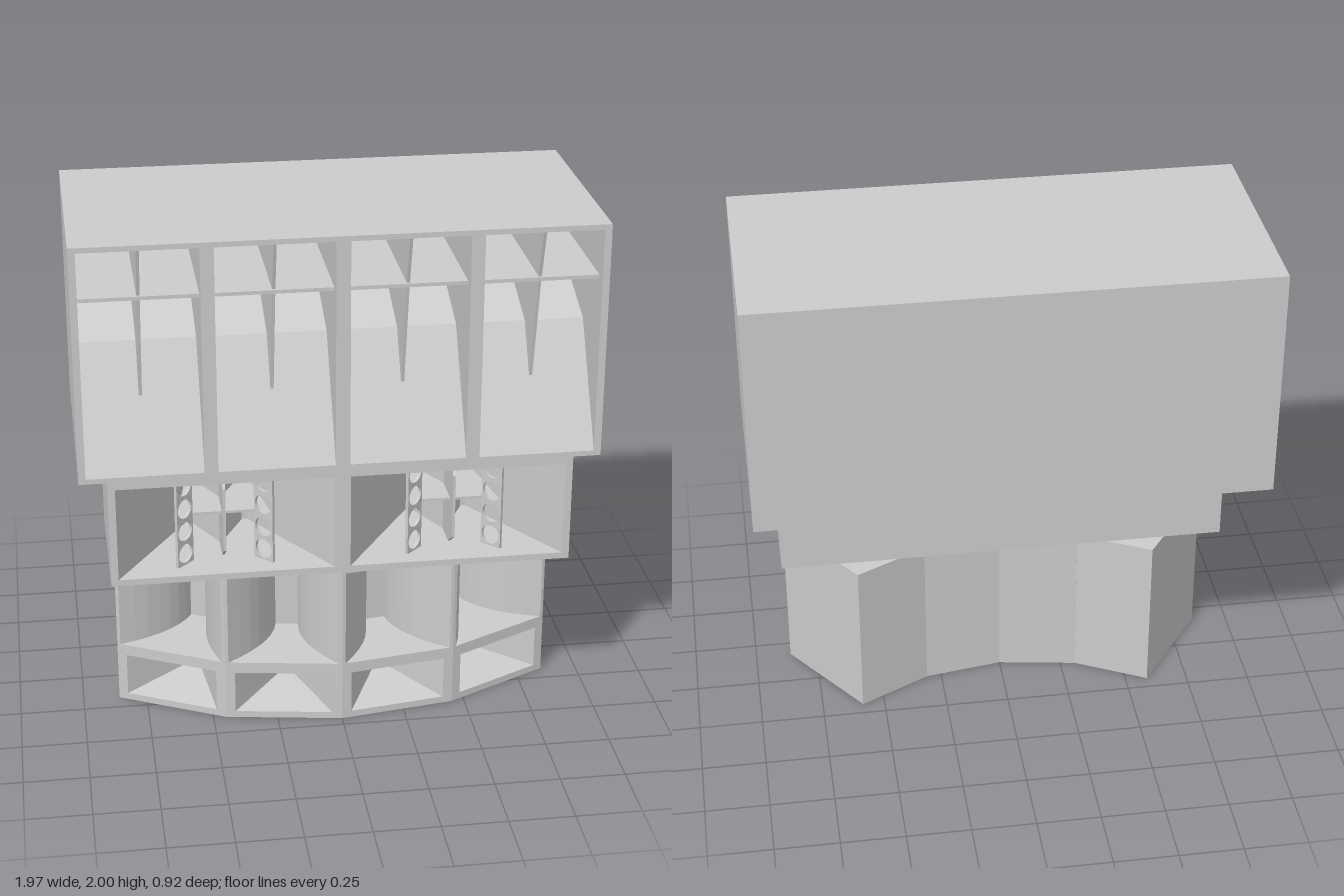
import * as THREE from 'three';

const material = new THREE.MeshStandardMaterial({ color: 0xcccccc, flatShading: true, side: THREE.DoubleSide });

function add(parent, name, geometry) {
  const mesh = new THREE.Mesh(geometry, material);
  mesh.name = name;
  parent.add(mesh);
  return mesh;
}

// Rectangular duct through sections [x0, x1, y0, y1, z], front to back, closed at the back.
// Walls face outward for a hull and inward for a horn.
function duct(sections, inward) {
  const pos = [], index = [];
  for (const [x0, x1, y0, y1, z] of sections) pos.push(x0, y0, z, x1, y0, z, x1, y1, z, x0, y1, z);
  const quad = (a, b, c, d) => (inward ? index.push(a, b, c, a, c, d) : index.push(a, c, b, a, d, c));
  for (let s = 0; s < sections.length - 1; s++) {
    for (let k = 0; k < 4; k++) {
      const a = s * 4 + k, b = s * 4 + (k + 1) % 4;
      quad(a, b, b + 4, a + 4);
    }
  }
  const e = (sections.length - 1) * 4;
  quad(e, e + 1, e + 2, e + 3);
  const g = new THREE.BufferGeometry();
  g.setAttribute('position', new THREE.Float32BufferAttribute(pos, 3));
  g.setIndex(index);
  const flat = g.toNonIndexed();
  flat.computeVertexNormals();
  return flat;
}

const polygon = (points) => new THREE.Shape(points.map(([x, y]) => new THREE.Vector2(x, y)));
const rect = (x0, x1, y0, y1) => polygon([[x0, y0], [x1, y0], [x1, y1], [x0, y1]]);

// Flat front frame with rectangular openings [x0, x1, y0, y1]
function frame(x0, x1, y0, y1, z, openings) {
  const shape = rect(x0, x1, y0, y1);
  for (const o of openings) shape.holes.push(rect(...o));
  return new THREE.ShapeGeometry(shape).translate(0, 0, z);
}

// Sheet of the given thickness, centred on its own plane
const sheet = (shape, t) =>
  new THREE.ExtrudeGeometry(shape, { depth: t, bevelEnabled: false, curveSegments: 10 }).translate(0, 0, -t / 2);

// Upper cabinet: four bays with a folded floor, a sloping ceiling, a shelf and a fin
function upperCabinet() {
  const g = new THREE.Group();
  g.name = 'upperCabinet';
  const centres = [-0.738, -0.247, 0.247, 0.738], w = 0.22;
  add(g, 'upperHull', duct([[-0.985, 0.985, 1.08, 2, 0.46], [-0.985, 0.985, 1.08, 2, -0.46]], false));
  add(g, 'upperFrame', frame(-0.985, 0.985, 1.08, 2, 0.46, centres.map((c) => [c - w, c + w, 1.1, 1.98])));
  for (const c of centres) {
    const bay = new THREE.Group();
    bay.name = 'upperBay';
    bay.position.x = c;
    add(bay, 'upperHorn', duct([[-w, w, 1.1, 1.98, 0.46], [-w, w, 1.54, 1.93, 0.2], [-w, w, 1.785, 1.81, -0.44]], true));
    add(bay, 'shelf', new THREE.BoxGeometry(2 * w, 0.014, 0.8).translate(0, 1.782, 0.01));
    const fin = polygon([[0.455, 1.98], [0.395, 1.78], [0.306, 1.355], [0.2, 1.54], [-0.42, 1.78], [-0.42, 1.81], [0.2, 1.93]]);
    add(bay, 'fin', sheet(fin, 0.012).rotateY(-Math.PI / 2));
    g.add(bay);
  }
  return g;
}

// Middle cabinet: two wide horns with perforated strips and a central wedge
function middleCabinet() {
  const g = new THREE.Group();
  g.name = 'middleCabinet';
  const y0 = 0.675, y1 = 1.05, h = y1 - y0, w = 0.411, centres = [-0.441, 0.441];
  add(g, 'middleHull', duct([[-0.88, 0.88, 0.65, 1.08, 0.46], [-0.88, 0.88, 0.65, 1.08, -0.11]], false));
  add(g, 'middleFrame', frame(-0.88, 0.88, 0.65, 1.08, 0.46, centres.map((c) => [c - w, c + w, y0, y1])));

  const stripShape = rect(-0.045, 0.045, 0, h);
  for (let i = 0; i < 4; i++) {
    const hole = new THREE.Path();
    hole.absarc(0, h * (i + 0.5) / 4, 0.039, 0, Math.PI * 2, true);
    stripShape.holes.push(hole);
  }
  for (const c of centres) {
    const bay = new THREE.Group();
    bay.name = 'middleBay';
    bay.position.x = c;
    add(bay, 'middleHorn', duct([[-w, w, y0, y1, 0.46], [-0.12, 0.12, y0, y1, 0]], true));
    for (const s of [-1, 1]) {
      const strip = add(bay, 'perforatedStrip', sheet(stripShape, 0.012));
      strip.position.set(s * 0.153, y0, 0.36);
      strip.rotation.y = -s * Math.PI / 4;
    }
    // wedge, crossing plate and upright fin behind the strips
    const wedge = polygon([[-0.1, 0.005], [0.1, 0.005], [0, 0.2]]);
    add(bay, 'wedge', sheet(wedge, h).rotateX(Math.PI / 2).translate(0, (y0 + y1) / 2, 0));
    const plate = polygon([[-0.12, 0.01], [0.12, 0.01], [0.185, 0.38], [0.12, 0.32], [-0.12, 0.32], [-0.185, 0.38]]);
    add(bay, 'crossPlate', sheet(plate, 0.01).rotateX(Math.PI / 2).translate(0, 0.865, 0));
    const fin = polygon([[0.1, y0], [0.3, y0], [0.38, 0.73], [0.38, 0.99], [0.3, y1], [0.1, y1]]);
    add(bay, 'uprightFin', sheet(fin, 0.01).rotateY(-Math.PI / 2));
    g.add(bay);
  }
  return g;
}

// One tapered cabinet of the curved row: a flared horn above a small pyramid horn
function lowerCabinet() {
  const g = new THREE.Group();
  g.name = 'lowerCabinet';
  const f = 0.2284, b = 0.1564;
  add(g, 'lowerHull', duct([[-f, f, 0, 0.65, 0], [-b, b, 0, 0.65, -0.454]], false));
  add(g, 'lowerFrame', frame(-f, f, 0, 0.65, 0, [[-0.215, 0.215, 0.245, 0.638], [-0.19, 0.19, 0.027, 0.2]]));
  const flare = [];
  for (let i = 0; i <= 7; i++) {
    const t = i / 7, x = 0.045 + 0.17 * (1 - t) ** 2;
    flare.push([-x, x, 0.245, 0.608 + 0.03 * (1 - t), -0.32 * t]);
  }
  add(g, 'flaredHorn', duct(flare, true));
  add(g, 'pyramidHorn', duct([[-0.19, 0.19, 0.027, 0.2, 0], [-0.035, 0.035, 0.07, 0.13, -0.22], [-0.035, 0.035, 0.07, 0.13, -0.28]], true));
  return g;
}

export function createModel() {
  const model = new THREE.Group();
  model.name = 'hornStack';
  model.add(upperCabinet(), middleCabinet());
  // curved row of four cabinets, 18 degrees apart
  const row = new THREE.Group();
  row.name = 'curvedRow';
  for (const degrees of [-27, -9, 9, 27]) {
    const a = THREE.MathUtils.degToRad(degrees);
    const cabinet = lowerCabinet();
    cabinet.position.set(1.442 * Math.sin(a), 0, -1.005 + 1.442 * Math.cos(a));
    cabinet.rotation.y = a;
    row.add(cabinet);
  }
  model.add(row);
  return model;
}
